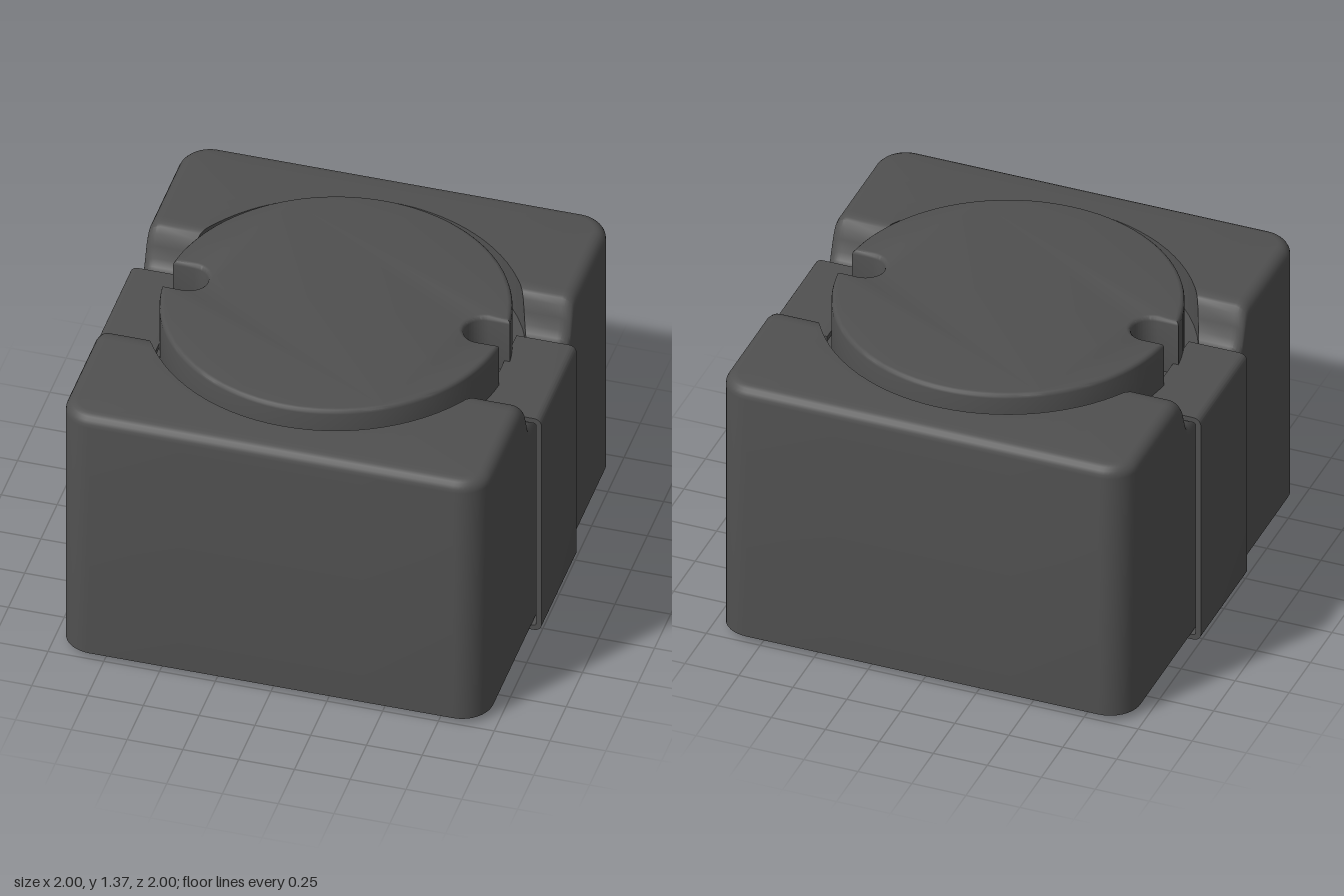
import * as THREE from 'three';
import { toCreasedNormals } from 'three/addons/utils/BufferGeometryUtils.js';

const W = 0.955, D = 1.0, CORNER = 0.14, FILLET = 0.055, BORE = 0.82;
const BASE = 0.03, TOP = 1.31, NOTCH = 1.125;

// Height of the casing rim: low around z = 0, with a rounded ramp up to the top
function rimHeight(z) {
  const steps = [[0.28, NOTCH], [0.31, 1.14], [0.33, 1.17], [0.37, 1.275], [0.39, 1.3], [0.42, TOP]];
  const a = Math.abs(z);
  if (a <= steps[0][0]) return NOTCH;
  for (let i = 1; i < steps.length; i++) {
    const [z0, y0] = steps[i - 1], [z1, y1] = steps[i];
    if (a <= z1) return y0 + (y1 - y0) * (a - z0) / (z1 - z0);
  }
  return TOP;
}

// Square casing with a round bore, skinned from cross-sections around the plan
function casingGeometry() {
  const quarter = []; // each: outer x, z, outward nx, nz, bore x, z
  for (const z of [0, 0.14, 0.28, 0.295, 0.31, 0.33, 0.35, 0.37, 0.39, 0.405, 0.42, 0.45])
    quarter.push([W, z, 1, 0, Math.sqrt(BORE * BORE - z * z), z]);
  const a0 = Math.asin(0.45 / BORE), n = 10, rest = n + 3;
  for (let i = 0; i <= n + 2; i++) {
    const t = Math.min(i, n) / n * Math.PI / 2;
    const b = a0 + (Math.PI / 2 - a0) * (i + 1) / rest;
    const nx = Math.cos(t), nz = Math.sin(t);
    const x = i <= n ? W - CORNER + CORNER * nx : (W - CORNER) * (n + 2 - i) / 2;
    quarter.push([x, D - CORNER + CORNER * nz, nx, nz, BORE * Math.cos(b), BORE * Math.sin(b)]);
  }
  const flip = (list, sx, sz) => list.map(p => p.map((v, k) => v * (k % 2 ? sz : sx)));
  const back = quarter.slice(1, -1).reverse();
  const plan = [
    ...quarter, ...flip(back, -1, 1), ...flip(quarter, -1, -1), ...flip(back, 1, -1),
  ];

  const sections = plan.map(([x, z, nx, nz, bx, bz]) => {
    const h = rimHeight(z), s = [[x, BASE, z]];
    for (let k = 0; k <= 5; k++) {
      const t = k / 5 * Math.PI / 2, inset = FILLET * (1 - Math.cos(t));
      s.push([x - nx * inset, h - FILLET * (1 - Math.sin(t)), z - nz * inset]);
    }
    s.push([bx, rimHeight(bz), bz], [bx, BASE, bz]);
    return s;
  });
  const m = sections[0].length, pos = sections.flat(2), index = [];
  for (let i = 0; i < sections.length; i++) {
    const i2 = (i + 1) % sections.length;
    for (let j = 0; j < m; j++) {
      const j2 = (j + 1) % m;
      const a = i * m + j, b = i * m + j2, c = i2 * m + j, d = i2 * m + j2;
      index.push(a, b, c, b, d, c);
    }
  }
  const g = new THREE.BufferGeometry();
  g.setAttribute('position', new THREE.Float32BufferAttribute(pos, 3));
  g.setIndex(index);
  return toCreasedNormals(g, 0.6);
}

// Round flange with a round-ended slot at each side
function flangeGeometry(y0, y1) {
  const r = 0.76, w = 0.085, end = 0.66, a = Math.asin(w / r), s = new THREE.Shape();
  s.absarc(0, 0, r, a, Math.PI - a, false);
  s.absarc(-end, 0, w, Math.PI / 2, -Math.PI / 2, true);
  s.absarc(0, 0, r, Math.PI + a, 2 * Math.PI - a, false);
  s.absarc(end, 0, w, 1.5 * Math.PI, Math.PI / 2, true);
  s.closePath();
  const bevel = 0.02;
  const g = new THREE.ExtrudeGeometry(s, {
    depth: y1 - y0 - 2 * bevel, curveSegments: 24,
    bevelThickness: bevel, bevelSize: bevel, bevelOffset: -bevel, bevelSegments: 3,
  });
  g.rotateX(-Math.PI / 2).translate(0, y0 + bevel, 0);
  return toCreasedNormals(g, 0.6);
}

// Bent metal strip: foot, upright and top tab
function terminalGeometry() {
  const tip = 0.73, x = 1, h = 1.15, t = 0.025, r = 0.035, q = r - t;
  const s = new THREE.Shape();
  s.moveTo(tip, 0);
  s.lineTo(x - r, 0);
  s.absarc(x - r, r, r, -Math.PI / 2, 0, false);
  s.lineTo(x, h - r);
  s.absarc(x - r, h - r, r, 0, Math.PI / 2, false);
  s.lineTo(tip, h);
  s.lineTo(tip, h - t);
  s.absarc(x - r, h - r, q, Math.PI / 2, 0, true);
  s.absarc(x - r, r, q, 0, -Math.PI / 2, true);
  s.lineTo(tip, t);
  s.closePath();
  const g = new THREE.ExtrudeGeometry(s, { depth: 0.54, bevelEnabled: false, curveSegments: 6 });
  g.translate(0, 0, -0.27);
  return toCreasedNormals(g, 0.6);
}

export function createModel() {
  const group = new THREE.Group();
  const grey = new THREE.MeshStandardMaterial({ color: 0x505050 });
  grey.name = 'dark grey';
  const add = (name, geometry) => {
    const mesh = new THREE.Mesh(geometry, grey);
    mesh.name = name;
    group.add(mesh);
    return mesh;
  };

  add('casing', casingGeometry());

  // Drum core: two slotted flanges around a filled middle
  add('upperFlange', flangeGeometry(1.0, 1.37));
  add('lowerFlange', flangeGeometry(0.04, 0.3));
  add('winding', new THREE.CylinderGeometry(BORE, BORE, 0.97, 64)).position.y = 0.615;

  // Terminals on both sides
  const strip = terminalGeometry();
  add('leftTerminal', strip);
  add('rightTerminal', strip).rotation.y = Math.PI;

  return group;
}
